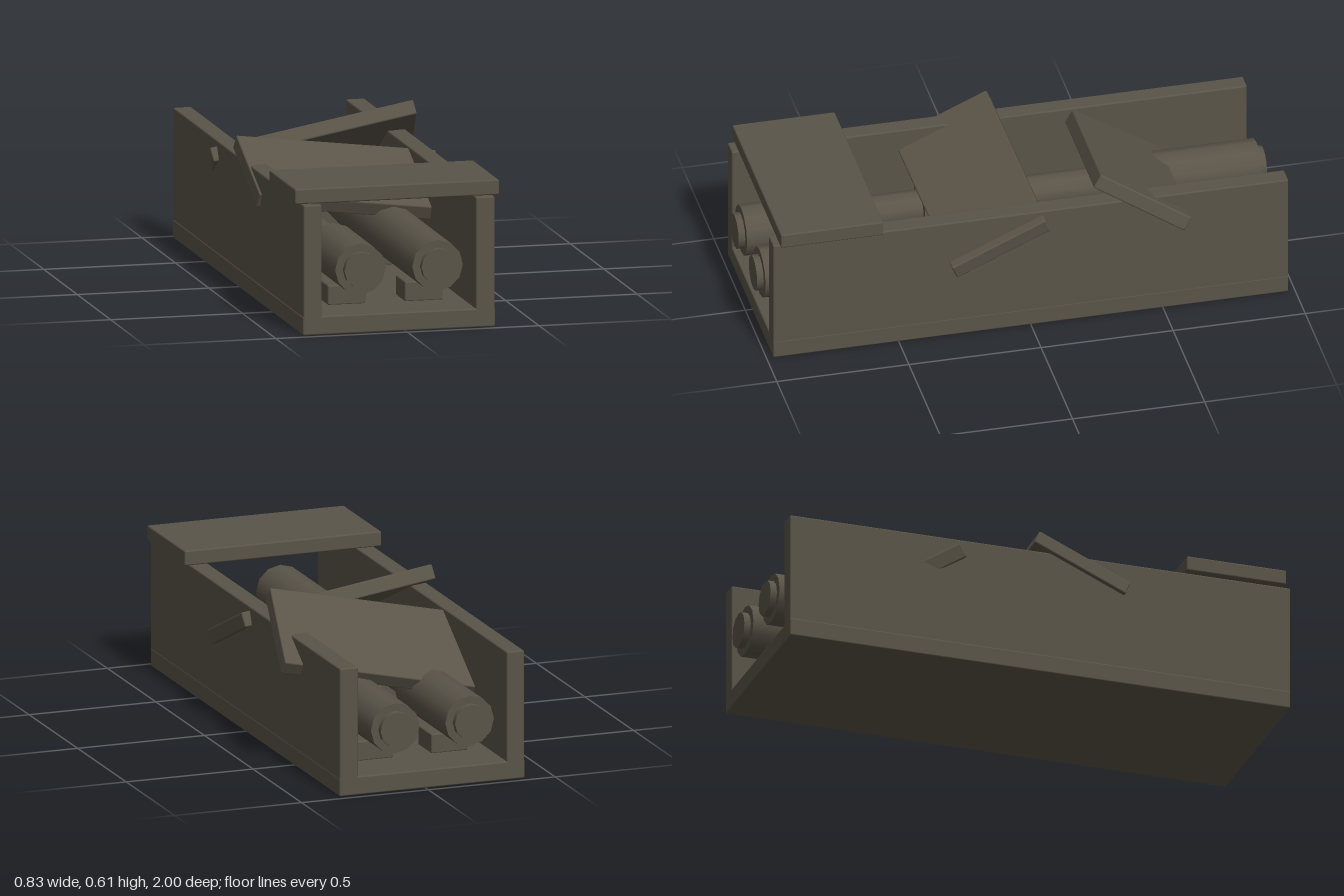
import * as THREE from 'three';
import { RoundedBoxGeometry } from 'three/addons/geometries/RoundedBoxGeometry.js';

export function createModel() {
  const model = new THREE.Group();
  model.name = 'openPipeTrench';
  const concrete = new THREE.MeshStandardMaterial({ color: 0x5a5448 });
  concrete.name = 'weatheredConcrete';

  const add = (name, geometry, x, y, z) => {
    const mesh = new THREE.Mesh(geometry, concrete);
    mesh.name = name;
    mesh.position.set(x, y, z);
    model.add(mesh);
    return mesh;
  };
  // Softly bevelled block given by its limits on each axis
  const block = (name, [x0, x1], [y0, y1], [z0, z1]) =>
    add(name, new RoundedBoxGeometry(x1 - x0, y1 - y0, z1 - z0, 2, 0.006),
      (x0 + x1) / 2, (y0 + y1) / 2, (z0 + z1) / 2);
  // Twelve-sided pipe lying along z
  const pipe = (name, x, radius, z0, z1) =>
    add(name, new THREE.CylinderGeometry(radius, radius, z1 - z0, 12).rotateX(Math.PI / 2),
      x, 0.24, (z0 + z1) / 2);

  // Trough
  const length = [-0.975, 0.975];
  block('floor', [-0.39, 0.34], [0, 0.07], length);
  block('rightWall', [-0.388, -0.319], [0.01, 0.488], length);
  block('leftWall', [0.267, 0.339], [0.01, 0.488], length);

  // Pipes: an inner core with an outer sleeve, broken away on one side
  const sleeves = {
    right: { x: -0.172, spans: [[-0.975, -0.45], [-0.06, 0.3], [0.57, 0.975]] },
    left: { x: 0.121, spans: [length] },
  };
  for (const [side, { x, spans }] of Object.entries(sleeves)) {
    pipe(`${side}PipeCore`, x, 0.067, -1, 1);
    for (const [z0, z1] of spans) pipe(`${side}PipeSleeve`, x, 0.096, z0, z1);
    // Support blocks under the pipe
    for (const z of [-0.7, 0, 0.7])
      block(`${side}PipeSupport`, [x - 0.072, x + 0.072], [0.068, 0.143], [z - 0.07, z + 0.07]);
  }

  // Cover slabs: one seated, two fallen in at an angle
  const slab = (name, position, along, across) => {
    const mesh = add(name, new RoundedBoxGeometry(0.776, 0.057, 0.388, 2, 0.006), ...position);
    const u = new THREE.Vector3(...along).normalize();
    const n = new THREE.Vector3(...across).cross(u).normalize();
    const w = new THREE.Vector3().crossVectors(u, n);
    mesh.quaternion.setFromRotationMatrix(new THREE.Matrix4().makeBasis(u, n, w));
  };
  slab('seatedCover', [-0.026, 0.517, 0.757], [1, 0, 0], [0, 0, 1]);
  slab('fallenMiddleCover', [-0.015, 0.415, 0.14], [1, -0.13, -0.057], [0, -0.44, 1]);
  slab('fallenBackCover', [0, 0.418, -0.442], [1, 0.205, 0.075], [-0.195, 0.6, 1]);

  return model;
}
